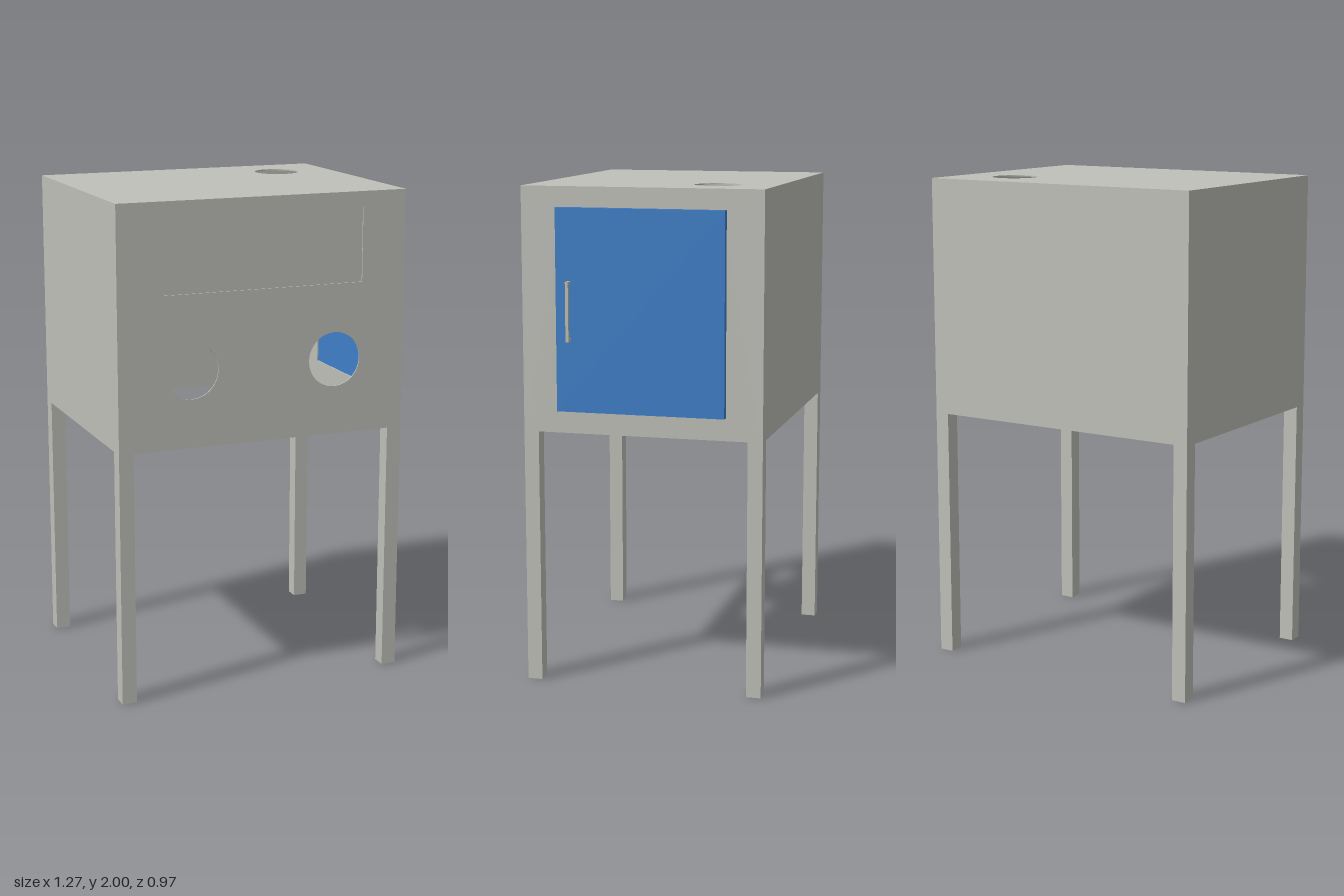
import * as THREE from 'three';

const greyMetal = new THREE.MeshStandardMaterial({ color: 0xc0c0ba });
greyMetal.name = 'greyMetal';
const bluePaint = new THREE.MeshStandardMaterial({ color: 0x3f7fc8 });
bluePaint.name = 'bluePaint';
const handleMetal = new THREE.MeshStandardMaterial({ color: 0xc4bfae });
handleMetal.name = 'handleMetal';

// Cabinet size, sheet thickness and leg size
const W = 1.21, D = 0.97, BOTTOM = 1.03, TOP = 2, T = 0.005, LEG = 0.06;
const CX = -0.03;

function rectPath(path, x0, y0, x1, y1) {
  path.moveTo(x0, y0);
  path.lineTo(x1, y0);
  path.lineTo(x1, y1);
  path.lineTo(x0, y1);
  path.closePath();
  return path;
}

function roundHole(x, y, r) {
  const hole = new THREE.Path();
  hole.absarc(x, y, r, 0, Math.PI * 2, true);
  return hole;
}

// Thin sheet with cut-outs, drawn in its own plane and extruded outward
function sheet(name, x0, y0, x1, y1, holes = []) {
  const shape = rectPath(new THREE.Shape(), x0, y0, x1, y1);
  shape.holes.push(...holes);
  const geometry = new THREE.ExtrudeGeometry(shape, { depth: T, bevelEnabled: false, curveSegments: 48 });
  const mesh = new THREE.Mesh(geometry, greyMetal);
  mesh.name = name;
  return mesh;
}

function box(name, material, x0, x1, y0, y1, z0, z1) {
  const mesh = new THREE.Mesh(new THREE.BoxGeometry(x1 - x0, y1 - y0, z1 - z0), material);
  mesh.position.set((x0 + x1) / 2, (y0 + y1) / 2, (z0 + z1) / 2);
  mesh.name = name;
  return mesh;
}

export function createModel() {
  const model = new THREE.Group();
  model.name = 'gloveCabinet';

  // Open-bottomed cabinet, centred on its own axis
  const cabinet = new THREE.Group();
  cabinet.name = 'cabinet';
  cabinet.position.x = CX;
  model.add(cabinet);

  const wallTop = TOP - T, sideHalf = D / 2 - T;

  // Front with two hand holes and a viewing window
  const front = sheet('frontWall', -W / 2, BOTTOM, W / 2, wallTop, [
    roundHole(-0.303, 1.335, 0.11),
    roundHole(0.303, 1.335, 0.11),
    rectPath(new THREE.Path(), -0.42, 1.64, 0.42, 1.94),
  ]);
  front.position.z = sideHalf;

  const back = sheet('backWall', -W / 2, BOTTOM, W / 2, wallTop);
  back.rotation.y = Math.PI;
  back.position.z = -sideHalf;

  // Door side with its doorway
  const doorWall = sheet('doorWall', -sideHalf, BOTTOM, sideHalf, wallTop, [
    rectPath(new THREE.Path(), -0.32, 1.14, 0.32, 1.9),
  ]);
  doorWall.rotation.y = Math.PI / 2;
  doorWall.position.x = W / 2 - T;

  const plainWall = sheet('plainSideWall', -sideHalf, BOTTOM, sideHalf, wallTop);
  plainWall.rotation.y = -Math.PI / 2;
  plainWall.position.x = -W / 2 + T;

  // Roof with a round vent
  const roof = sheet('roof', -W / 2, -D / 2, W / 2, D / 2, [roundHole(0.363, 0.245, 0.092)]);
  roof.rotation.x = -Math.PI / 2;
  roof.position.y = wallTop;

  // Window pane fixed behind the opening
  const pane = box('windowPane', greyMetal, -0.47, 0.47, 1.59, 1.99, sideHalf - T, sideHalf);

  cabinet.add(front, back, doorWall, plainWall, roof, pane);

  // Four square legs flush with the corners
  for (const sx of [-1, 1]) {
    for (const sz of [-1, 1]) {
      const leg = box('leg', greyMetal, -LEG / 2, LEG / 2, 0, BOTTOM, -LEG / 2, LEG / 2);
      leg.position.x = sx * (W - LEG) / 2;
      leg.position.z = sz * (D - LEG) / 2;
      cabinet.add(leg);
    }
  }

  // Door and its bracket handle
  model.add(box('door', bluePaint, 0.575, 0.602, 1.12, 1.92, -0.338, 0.338));
  const handle = new THREE.Group();
  handle.name = 'doorHandle';
  const z0 = 0.277, z1 = 0.289;
  handle.add(box('handleBar', handleMetal, 0.623, 0.635, 1.4, 1.636, z0, z1));
  for (const y of [1.4, 1.624]) {
    handle.add(box('handleMount', handleMetal, 0.602, 0.623, y, y + 0.012, z0, z1));
  }
  model.add(handle);

  return model;
}
